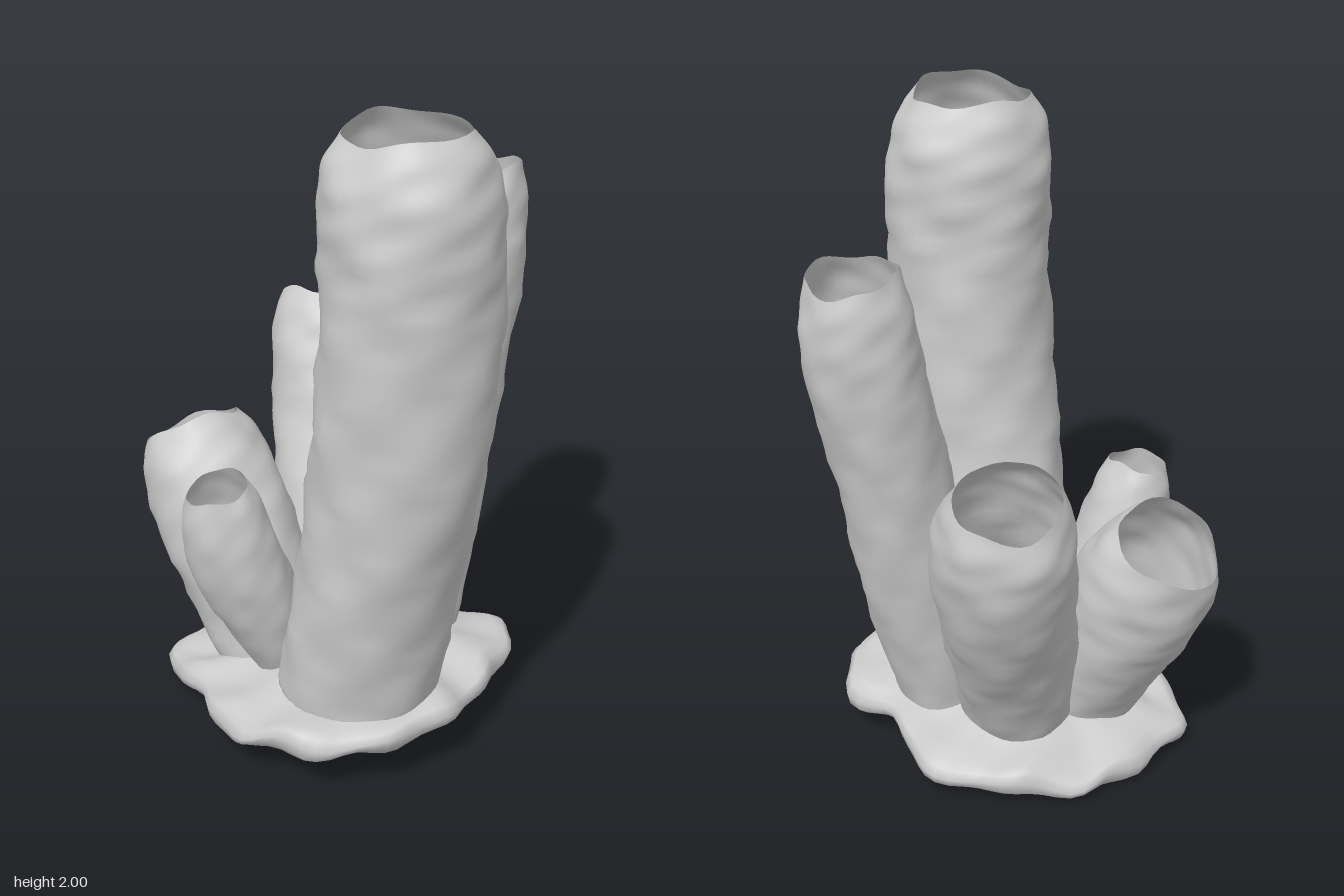
import * as THREE from 'three';

const V = (x, y, z) => new THREE.Vector3(x, y, z);
const material = new THREE.MeshStandardMaterial({ color: 0xcccccc, side: THREE.DoubleSide });

// Skin a stack of closed rings (each an array of Vector3) with shared vertices
function loft(rings) {
  const n = rings[0].length;
  const pos = [], idx = [];
  rings.forEach(r => r.forEach(p => pos.push(p.x, p.y, p.z)));
  for (let i = 0; i < rings.length - 1; i++) {
    for (let j = 0; j < n; j++) {
      const a = i * n + j, b = i * n + (j + 1) % n;
      const c = a + n, d = b + n;
      idx.push(a, c, b, b, c, d);
    }
  }
  const g = new THREE.BufferGeometry();
  g.setAttribute('position', new THREE.Float32BufferAttribute(pos, 3));
  g.setIndex(idx);
  g.computeVertexNormals();
  return g;
}

// Smooth lumpy variation in roughly -1..1
function lumps(a, h, seed) {
  return 0.3 * Math.sin(3 * a + 7 * h + seed)
    + 0.3 * Math.sin(5 * a - 17 * h + seed * 2.3)
    + 0.35 * Math.sin(2 * a + 31 * h + seed * 1.7) * Math.cos(4 * a - 11 * h + seed)
    + 0.25 * Math.sin(7 * a + 19 * h + seed) * Math.sin(43 * h - 2 * a);
}

// Hollow tube: path points, [t, radius] profile, uneven rim, raised floor inside
function tube({ name, path, profile, seed, rim }) {
  const curve = new THREE.CatmullRomCurve3(path);
  const length = curve.getLength();
  const radii = new THREE.CatmullRomCurve3(profile.map(([t, r]) => V(t, r, 0)));
  const sides = 36, rows = Math.round(length * 26) + 8;

  const ring = (t, r, bump) => {
    const c = curve.getPointAt(t), axis = curve.getTangentAt(t);
    const u = V(1, 0, 0).addScaledVector(axis, -axis.x).normalize();
    const v = u.clone().cross(axis);
    return Array.from({ length: sides }, (_, j) => {
      const a = j / sides * Math.PI * 2;
      const rr = r * (1 + bump * lumps(a, t * length, seed));
      // ragged lip, fading out below the opening
      const lip = rim * Math.pow(t, 14) * (Math.sin(2 * a + seed) + 0.5 * Math.sin(5 * a + seed * 3));
      return c.clone().addScaledVector(u, rr * Math.cos(a))
        .addScaledVector(v, rr * Math.sin(a)).addScaledVector(axis, lip);
    });
  };

  const t0 = 0.09 / length, r0 = profile[0][1];
  const rings = [ring(t0, 0.001, 0), ring(t0, r0 * 0.5, 0.05), ring(t0 * 0.9, r0 * 0.88, 0.05)];
  for (let i = 0; i <= rows; i++) {
    const p = radii.getPoint(i / rows);
    rings.push(ring(THREE.MathUtils.clamp(p.x, 0, 1), p.y, 0.055));
  }
  const mesh = new THREE.Mesh(loft(rings), material);
  mesh.name = name;
  return mesh;
}

// Tilted, wavy crust with a rolled edge, rising to the middle, hollow underneath
function crust() {
  const outline = new THREE.CatmullRomCurve3([
    V(0.54, 0, 0.12), V(0.49, 0, 0.38), V(0.34, 0, 0.54), V(0.1, 0, 0.6), V(-0.18, 0, 0.52),
    V(-0.42, 0, 0.46), V(-0.5, 0, 0.25), V(-0.51, 0, 0), V(-0.38, 0, -0.24), V(-0.2, 0, -0.39),
    V(0.02, 0, -0.36), V(0.22, 0, -0.42), V(0.37, 0, -0.29), V(0.46, 0, -0.1),
  ], true);
  const n = 80, edge = outline.getSpacedPoints(n).slice(0, n);
  const centre = V(-0.01, 0, 0.1);
  // [scale from centre, height above the tilted plane], underside to top
  const section = [[0.68, 0.05], [0.78, 0.02], [0.88, -0.015], [0.95, -0.02], [0.995, 0],
    [1.01, 0.03], [0.98, 0.055], [0.92, 0.07], [0.82, 0.075], [0.7, 0.09],
    [0.55, 0.125], [0.38, 0.155], [0.2, 0.175], [0.001, 0.18]];
  const rings = section.map(([s, h], i) => edge.map((e, j) => {
    const a = j / n * Math.PI * 2;
    const wave = Math.sin(7 * a + 1) * 0.6 + Math.sin(12 * a + i * 0.35) * 0.5;
    const p = centre.clone().lerp(e, s * (1 + 0.018 * Math.sin(15 * a + 2)));
    p.y = 0.09 + 0.13 * p.x + h + s * (0.014 * wave + 0.008 * Math.sin(9 * a + i));
    return p;
  }));
  const mesh = new THREE.Mesh(loft(rings), material);
  mesh.name = 'baseCrust';
  return mesh;
}

export function createModel() {
  const group = new THREE.Group();
  group.name = 'tubeSponge';
  group.add(crust());

  const tubes = [
    { name: 'tallTube', seed: 1.3, rim: 0.012,
      path: [V(0.22, 0.15, 0.205), V(0.315, 0.6, 0.2), V(0.395, 1.05, 0.185), V(0.425, 1.55, 0.175), V(0.415, 1.98, 0.18)],
      profile: [[0, 0.24], [0.25, 0.242], [0.5, 0.25], [0.75, 0.253], [0.9, 0.25], [0.96, 0.222], [1, 0.178]] },
    { name: 'backTube', seed: 2.9, rim: 0.012,
      path: [V(0.05, 0.14, -0.15), V(0.03, 0.6, -0.265), V(0.015, 1.05, -0.355), V(0.008, 1.4, -0.435), V(0, 1.67, -0.465)],
      profile: [[0, 0.145], [0.3, 0.165], [0.6, 0.17], [0.85, 0.168], [0.94, 0.155], [1, 0.13]] },
    { name: 'rearLeaningTube', seed: 4.2, rim: 0.014,
      path: [V(-0.14, 0.12, 0), V(-0.25, 0.42, -0.09), V(-0.4, 0.8, -0.22), V(-0.51, 1.145, -0.285)],
      profile: [[0, 0.17], [0.3, 0.19], [0.6, 0.206], [0.85, 0.206], [0.94, 0.184], [1, 0.15]] },
    { name: 'frontLeaningTube', seed: 0.4, rim: 0.014,
      path: [V(-0.16, 0.12, 0.22), V(-0.25, 0.32, 0.24), V(-0.38, 0.58, 0.27), V(-0.515, 0.825, 0.285)],
      profile: [[0, 0.175], [0.3, 0.195], [0.6, 0.212], [0.82, 0.204], [0.93, 0.182], [1, 0.16]] },
    { name: 'smallTube', seed: 5.6, rim: 0.009,
      path: [V(-0.01, 0.16, 0.3), V(-0.035, 0.38, 0.36), V(-0.06, 0.62, 0.45), V(-0.068, 0.84, 0.5)],
      profile: [[0, 0.06], [0.25, 0.112], [0.5, 0.136], [0.75, 0.135], [0.92, 0.115], [1, 0.094]] },
  ];
  tubes.forEach(t => group.add(tube(t)));

  // Stand on the ground, centred
  const box = new THREE.Box3().setFromObject(group);
  const mid = box.getCenter(V(0, 0, 0));
  group.position.set(-mid.x, -box.min.y, -mid.z);
  return group;
}
